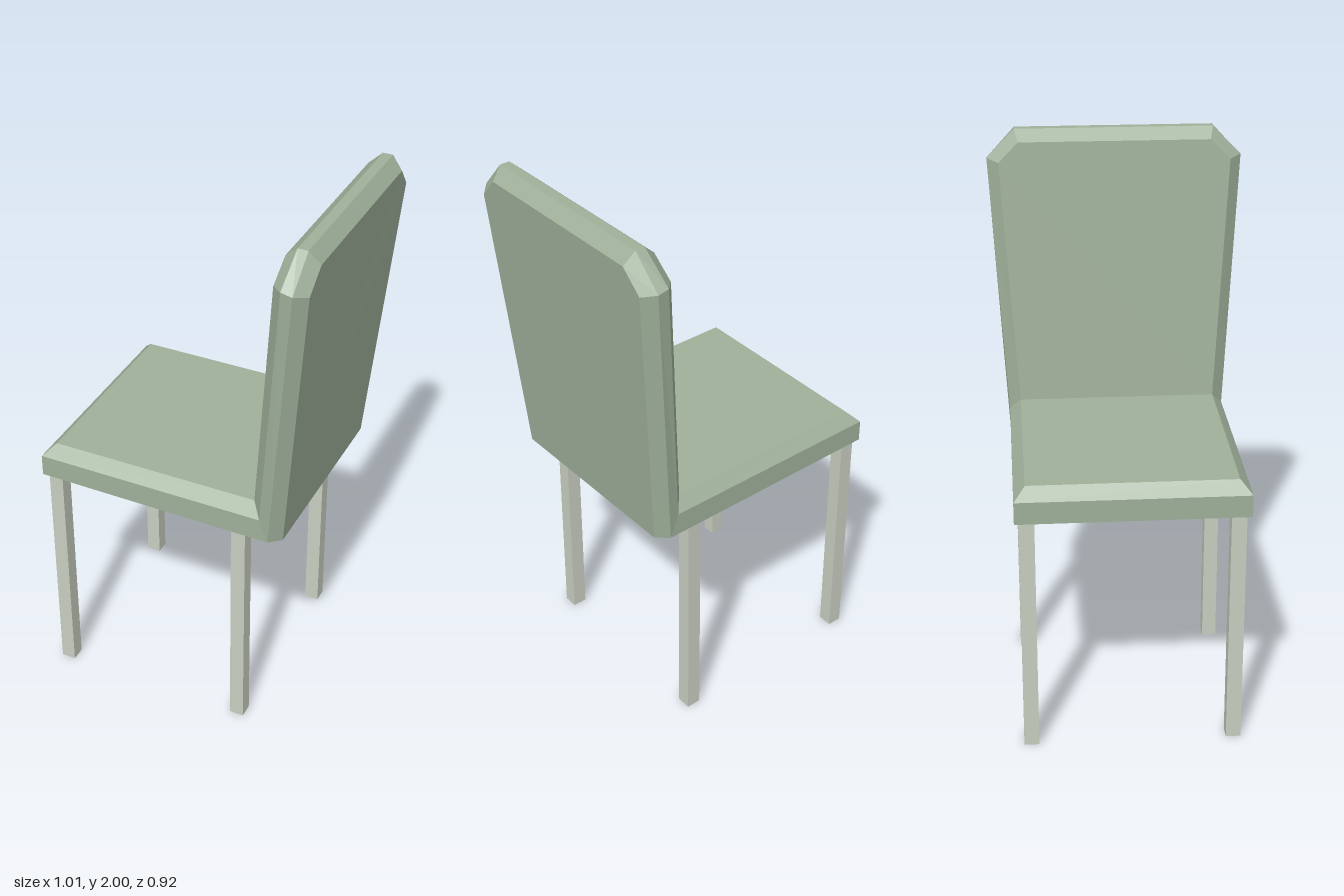
import * as THREE from 'three';

// Faceted solid through matching rings of points (counter-clockwise seen from the last ring).
function loft(rings) {
  const pos = [];
  const tri = (a, b, c) => pos.push(...a, ...b, ...c);
  const n = rings[0].length;
  for (let r = 0; r < rings.length - 1; r++) {
    for (let i = 0; i < n; i++) {
      const j = (i + 1) % n, a = rings[r], b = rings[r + 1];
      tri(a[i], a[j], b[j]);
      tri(a[i], b[j], b[i]);
    }
  }
  const first = rings[0], last = rings[rings.length - 1];
  for (let i = 1; i < n - 1; i++) {
    tri(first[0], first[i + 1], first[i]);
    tri(last[0], last[i], last[i + 1]);
  }
  const g = new THREE.BufferGeometry();
  g.setAttribute('position', new THREE.Float32BufferAttribute(pos, 3));
  g.computeVertexNormals();
  return g;
}

// Rectangular seat ring; the rear edge may sit at its own height.
const seatRing = (x0, x1, y0, y1, z) => [[x0, y0, z], [x1, y1, z], [x1, y1, -z], [x0, y0, -z]];

// Backrest ring from its bottom, shoulder and top corners, each [x, y, half width].
const backRing = (b, s, t) => [
  b, [b[0], b[1], -b[2]], [s[0], s[1], -s[2]], [t[0], t[1], -t[2]], t, s,
];

export function createModel() {
  const model = new THREE.Group();
  model.name = 'chair';
  const upholstery = new THREE.MeshStandardMaterial({ color: 0x9fb09a, flatShading: true });
  upholstery.name = 'sage upholstery';
  const legPaint = new THREE.MeshStandardMaterial({ color: 0xc8cec0, flatShading: true });
  legPaint.name = 'pale legs';

  const add = (name, geometry, material) => {
    const mesh = new THREE.Mesh(geometry, material);
    mesh.name = name;
    model.add(mesh);
    return mesh;
  };

  // Seat with a bevelled top edge
  add('seat', loft([
    seatRing(-0.507, 0.37, 0.88, 0.872, 0.402),
    seatRing(-0.507, 0.338, 0.96, 0.957, 0.402),
    seatRing(-0.465, 0.302, 1.003, 1.003, 0.362),
  ]), upholstery);

  // Flared, leaning backrest with bevelled front and rear edges
  add('backrest', loft([
    backRing([0.302, 1.003, 0.362], [0.379, 1.888, 0.42], [0.386, 1.96, 0.348]),
    backRing([0.338, 0.957, 0.402], [0.42, 1.898, 0.462], [0.43, 2, 0.36]),
    backRing([0.37, 0.872, 0.402], [0.46, 1.89, 0.462], [0.466, 2, 0.36]),
    backRing([0.41, 0.868, 0.362], [0.499, 1.878, 0.42], [0.505, 1.955, 0.348]),
  ]), upholstery);

  // Four square legs
  for (const [end, x] of [['front', -0.463], ['rear', 0.253]]) {
    for (const side of [-1, 1]) {
      const leg = add(`${end}Leg`, new THREE.BoxGeometry(0.053, 0.88, 0.053), legPaint);
      leg.position.set(x, 0.44, side * 0.36);
    }
  }
  return model;
}
